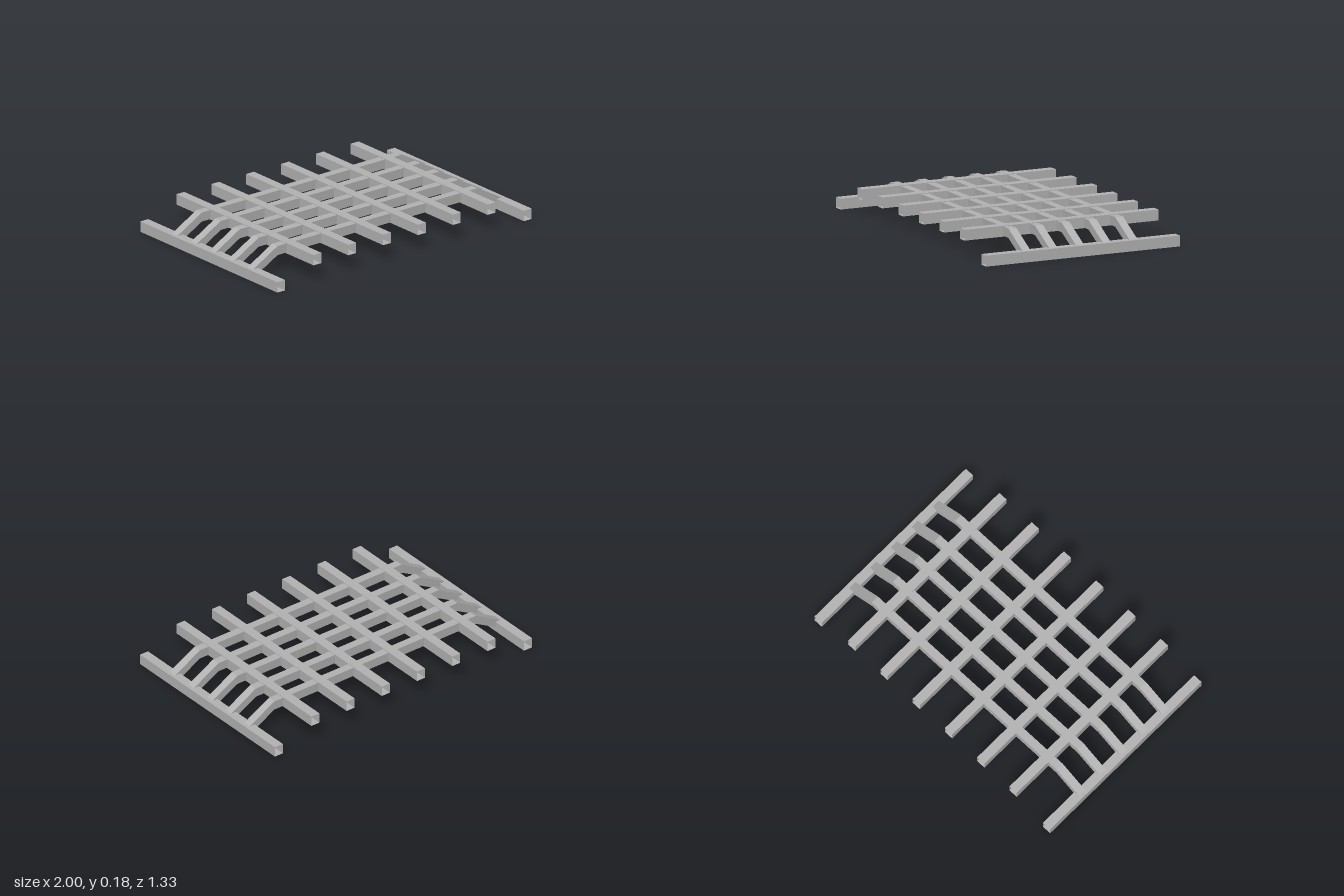
import * as THREE from 'three';

// Open-ended rectangular tube running along x; stations are [x, bottomY, topY]
function rectTube(stations, width) {
  const h = width / 2;
  const rings = stations.map(([x, y0, y1]) => [
    [x, y0, -h], [x, y0, h], [x, y1, h], [x, y1, -h],
  ]);
  const pos = [];
  for (let i = 0; i < rings.length - 1; i++) {
    for (let k = 0; k < 4; k++) {
      const n = (k + 1) % 4;
      const a = rings[i][k], b = rings[i][n];
      const c = rings[i + 1][n], d = rings[i + 1][k];
      pos.push(...a, ...d, ...c, ...a, ...c, ...b);
    }
  }
  const geo = new THREE.BufferGeometry();
  geo.setAttribute('position', new THREE.Float32BufferAttribute(pos, 3));
  geo.computeVertexNormals();
  return geo;
}

export function createModel() {
  const model = new THREE.Group();
  model.name = 'rack';
  const steel = new THREE.MeshStandardMaterial({ color: 0xb3b3b3, side: THREE.DoubleSide });
  steel.name = 'grey steel';

  // Straight cross beams along z: two on the ground, six raised
  const beamGeo = rectTube([[-0.667, 0, 0.068], [0.667, 0, 0.068]], 0.062);
  const addBeam = (name, x, y) => {
    const beam = new THREE.Mesh(beamGeo, steel);
    beam.name = name;
    beam.rotation.y = Math.PI / 2;
    beam.position.set(x, y, 0);
    model.add(beam);
  };
  for (const side of [-1, 1]) {
    addBeam('footBeam', side * 0.969, 0);
    for (const x of [0.137, 0.411, 0.685]) addBeam('crossBeam', side * x, 0.11);
  }

  // Bent rails along x, sloping down into the foot beams
  const railGeo = rectTube([
    [-0.979, 0.008, 0.066],
    [-0.785, 0.115, 0.174],
    [0.785, 0.115, 0.174],
    [0.979, 0.008, 0.066],
  ], 0.054);
  for (let i = 0; i < 5; i++) {
    const rail = new THREE.Mesh(railGeo, steel);
    rail.name = 'bentRail';
    rail.position.z = -0.36 + i * 0.184;
    model.add(rail);
  }

  return model;
}
